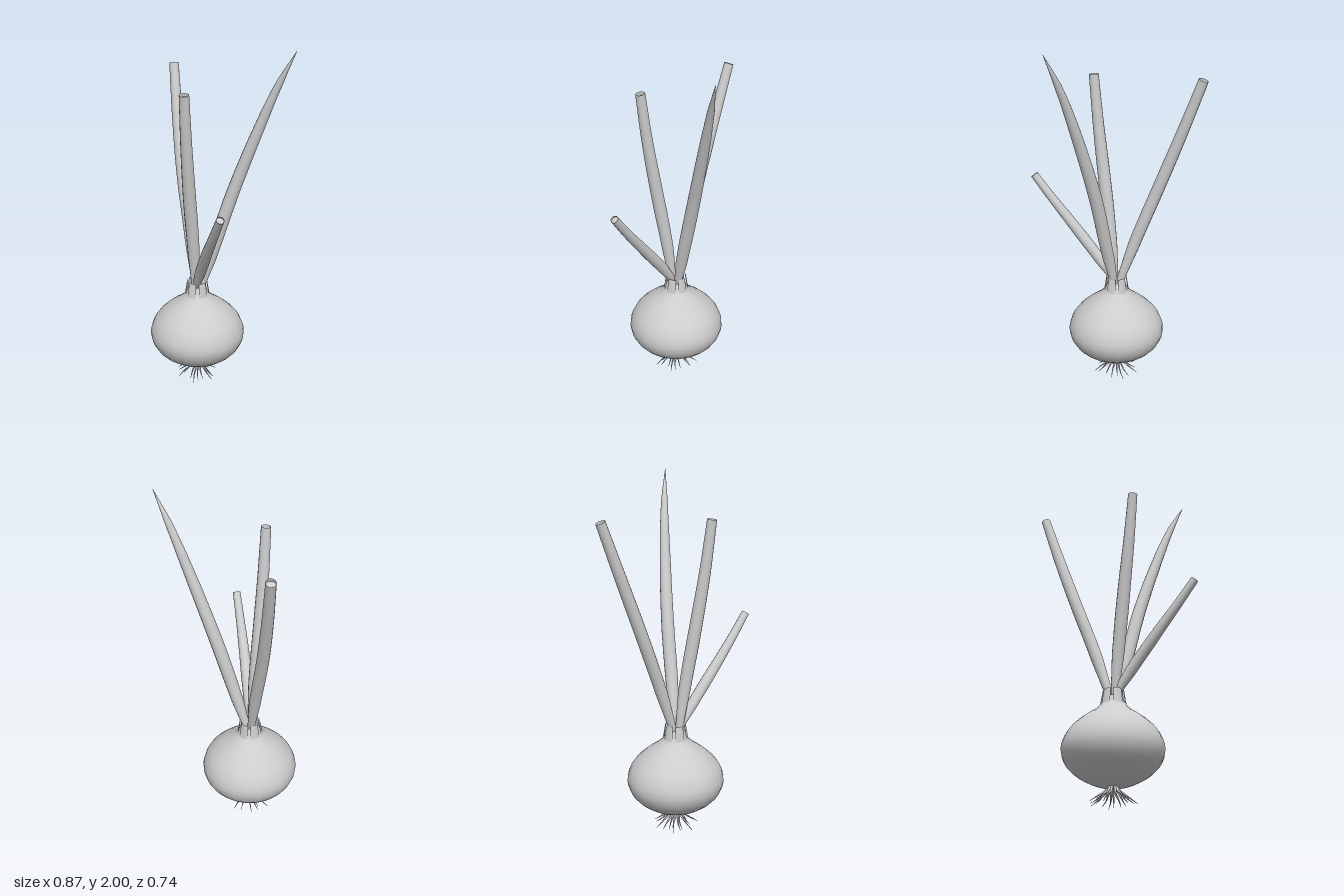
import * as THREE from 'three';

const CX = -0.088, CZ = -0.013; // bulb axis
const V = (p) => new THREE.Vector3(...p);

// Tube along a curve whose radius follows rule(t)
function taperedTube(points, rule, segments, sides) {
  const curve = new THREE.CatmullRomCurve3(points.map(V));
  const geo = new THREE.TubeGeometry(curve, segments, 1, sides, false);
  const pos = geo.attributes.position, v = new THREE.Vector3();
  for (let i = 0; i <= segments; i++) {
    const c = curve.getPointAt(i / segments), r = rule(i / segments);
    for (let j = 0; j <= sides; j++) {
      const k = i * (sides + 1) + j;
      v.fromBufferAttribute(pos, k).sub(c).multiplyScalar(r).add(c);
      pos.setXYZ(k, v.x, v.y, v.z);
    }
  }
  return { geo, curve };
}

// Linear interpolation through evenly spaced radii
const radii = (list) => (t) => {
  const f = t * (list.length - 1), i = Math.min(Math.floor(f), list.length - 2);
  return THREE.MathUtils.lerp(list[i], list[i + 1], f - i);
};

export function createModel() {
  const model = new THREE.Group();
  const grey = new THREE.MeshStandardMaterial({ color: 0xcccccc, side: THREE.DoubleSide });
  grey.name = 'plain grey';
  const add = (name, geo, parent = model) => {
    const mesh = new THREE.Mesh(geo, grey);
    mesh.name = name;
    parent.add(mesh);
    return mesh;
  };

  // Bulb
  const profile = new THREE.SplineCurve([
    [0, 0.09], [0.07, 0.1], [0.165, 0.14], [0.245, 0.205], [0.278, 0.29], [0.25, 0.38],
    [0.18, 0.455], [0.105, 0.51], [0.066, 0.55], [0.048, 0.59], [0, 0.6],
  ].map((p) => new THREE.Vector2(...p))).getPoints(30);
  profile[0].x = profile[30].x = 0;
  add('bulb', new THREE.LatheGeometry(profile, 24)).position.set(CX, 0, CZ);

  // Dry scales around the neck
  const neck = new THREE.Group();
  neck.name = 'neckScales';
  neck.position.set(CX, 0.587, CZ);
  for (let i = 0; i < 6; i++) {
    const arc = 0.8, start = (i / 6) * Math.PI * 2 - arc / 2;
    add('neckScale', new THREE.CylinderGeometry(0.058, 0.072, 0.085, 4, 1, true, start, arc), neck);
  }
  model.add(neck);

  // Three cut, hollow leaves and one pointed leaf
  const leaves = [
    { name: 'backLeaf', cut: true, r: [0.02, 0.034, 0.035, 0.034, 0.031, 0.027],
      path: [[-0.1, 0.58, -0.02], [-0.175, 0.88, -0.09], [-0.265, 1.2, -0.172], [-0.345, 1.52, -0.262], [-0.41, 1.812, -0.345]] },
    { name: 'middleLeaf', cut: true, r: [0.02, 0.034, 0.037, 0.035, 0.031, 0.027],
      path: [[-0.09, 0.58, 0.005], [-0.082, 0.85, 0.04], [-0.074, 1.2, 0.098], [-0.064, 1.5, 0.145], [-0.055, 1.787, 0.18]] },
    { name: 'pointedLeaf', cut: false, r: [0.02, 0.034, 0.037, 0.037, 0.035, 0.032, 0.027, 0.019, 0.001],
      path: [[-0.07, 0.58, -0.02], [0, 0.83, -0.045], [0.1, 1.18, -0.085], [0.25, 1.6, -0.122], [0.34, 1.82, -0.137], [0.43, 2, -0.145]] },
    { name: 'shortLeaf', cut: true, r: [0.018, 0.031, 0.032, 0.029, 0.025, 0.022],
      path: [[-0.09, 0.59, 0], [-0.02, 0.73, 0.075], [0.08, 0.915, 0.185], [0.168, 1.07, 0.275], [0.243, 1.207, 0.348]] },
  ];
  for (const { name, cut, r, path } of leaves) {
    const { geo, curve } = taperedTube(path, radii(r), 24, 14);
    add(name, geo);
    if (!cut) continue;
    // Recessed floor inside the cut end
    const floor = add(name + 'Floor', new THREE.CircleGeometry(r[r.length - 1], 14));
    floor.position.copy(curve.getPointAt(0.985));
    floor.quaternion.setFromUnitVectors(new THREE.Vector3(0, 0, 1), curve.getTangentAt(0.985));
  }

  // Roots fanning out under the bulb
  const roots = new THREE.Group();
  roots.name = 'roots';
  roots.position.set(CX, 0, CZ);
  for (let i = 0; i < 18; i++) {
    const a = i * 2.4 + 0.3, reach = [0.13, 0.115, 0.085][i % 3], low = [0.008, 0.014, 0.004][i % 3];
    const at = (d, y, twist = 0) => [Math.cos(a + twist) * d, y, Math.sin(a + twist) * d];
    const path = [at(0.018, 0.108), at(0.035, 0.075), at(reach * 0.65, 0.04, 0.1), at(reach, low, 0.05)];
    add('root', taperedTube(path, (t) => 0.008 * (1 - t) + 0.001, 8, 6).geo, roots);
  }
  model.add(roots);
  return model;
}
